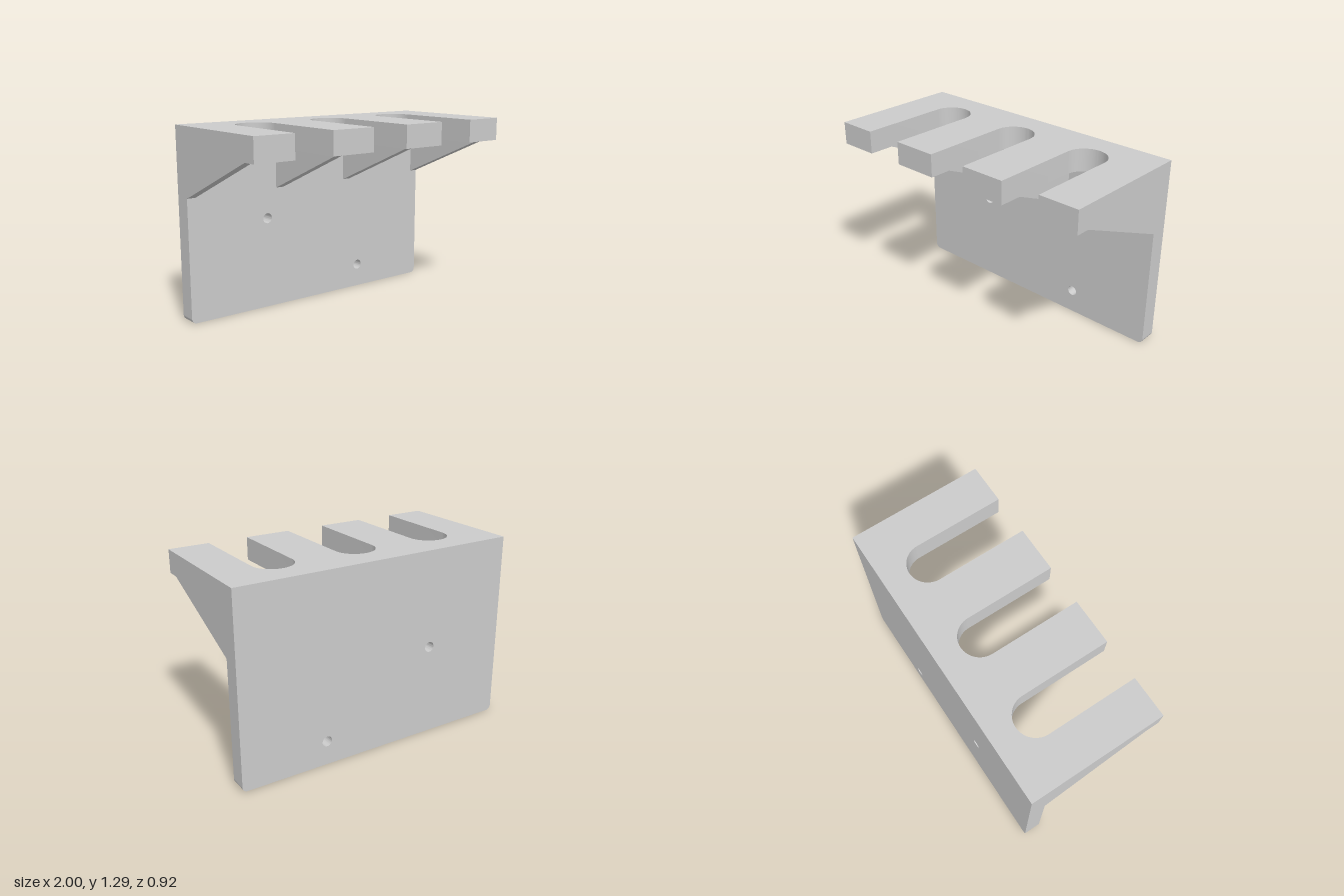
import * as THREE from 'three';
import { toCreasedNormals } from 'three/addons/utils/BufferGeometryUtils.js';

const material = new THREE.MeshStandardMaterial({ color: 0xcccccc });
const TOP = 1.295, SHELF_Y = 1.14;      // shelf top and underside
const BACK = -0.46, FRONT = 0.46;       // overall depth
const PLATE_Z = -0.342;                 // front face of the back plate

function extrude(shape, depth) {
  return new THREE.ExtrudeGeometry(shape, { depth, bevelEnabled: false, curveSegments: 24 });
}

function addPart(group, name, geometry) {
  const mesh = new THREE.Mesh(toCreasedNormals(geometry, 0.6), material);
  mesh.name = name;
  group.add(mesh);
}

// Upright plate with rounded bottom corners and two screw holes
function backPlate() {
  const r = 0.035;
  const s = new THREE.Shape();
  s.moveTo(-1, SHELF_Y);
  s.lineTo(-1, r);
  s.absarc(-1 + r, r, r, Math.PI, Math.PI * 1.5, false);
  s.absarc(1 - r, r, r, -Math.PI / 2, 0, false);
  s.lineTo(1, SHELF_Y);
  s.closePath();
  for (const [x, y] of [[-0.4, 0.63], [0.4, 0.165]]) {
    s.holes.push(new THREE.Path().absarc(x, y, 0.035, 0, Math.PI * 2, true));
  }
  return extrude(s, PLATE_Z - BACK).translate(0, 0, BACK);
}

// Horizontal shelf with three round-ended slots open to the front (shape y = -z)
function slottedShelf() {
  const r = 0.137, arcY = 0.153;
  const s = new THREE.Shape();
  s.moveTo(-1, -FRONT);
  for (const x of [-0.588, 0, 0.588]) {
    s.lineTo(x - r, -FRONT);
    s.lineTo(x - r, arcY);
    s.absarc(x, arcY, r, Math.PI, 0, true);
    s.lineTo(x + r, -FRONT);
  }
  s.lineTo(1, -FRONT);
  s.lineTo(1, -BACK);
  s.lineTo(-1, -BACK);
  s.closePath();
  return extrude(s, TOP - SHELF_Y).rotateX(-Math.PI / 2).translate(0, SHELF_Y, 0);
}

// Triangular rib under a shelf finger (shape x = z)
function gusset(x, width) {
  const s = new THREE.Shape();
  s.moveTo(PLATE_Z, 0.835);
  s.lineTo(0.365, SHELF_Y);
  s.lineTo(PLATE_Z, SHELF_Y);
  s.closePath();
  return extrude(s, width).rotateY(-Math.PI / 2).translate(x + width / 2, 0, 0);
}

export function createModel() {
  const group = new THREE.Group();
  group.name = 'slottedWallBracket';
  addPart(group, 'backPlate', backPlate());
  addPart(group, 'slottedShelf', slottedShelf());
  for (const side of [-1, 1]) {
    const label = side < 0 ? 'right' : 'left';
    addPart(group, label + 'OuterGusset', gusset(side * 0.97, 0.06));
    addPart(group, label + 'InnerGusset', gusset(side * 0.294, 0.06));
  }
  return group;
}
